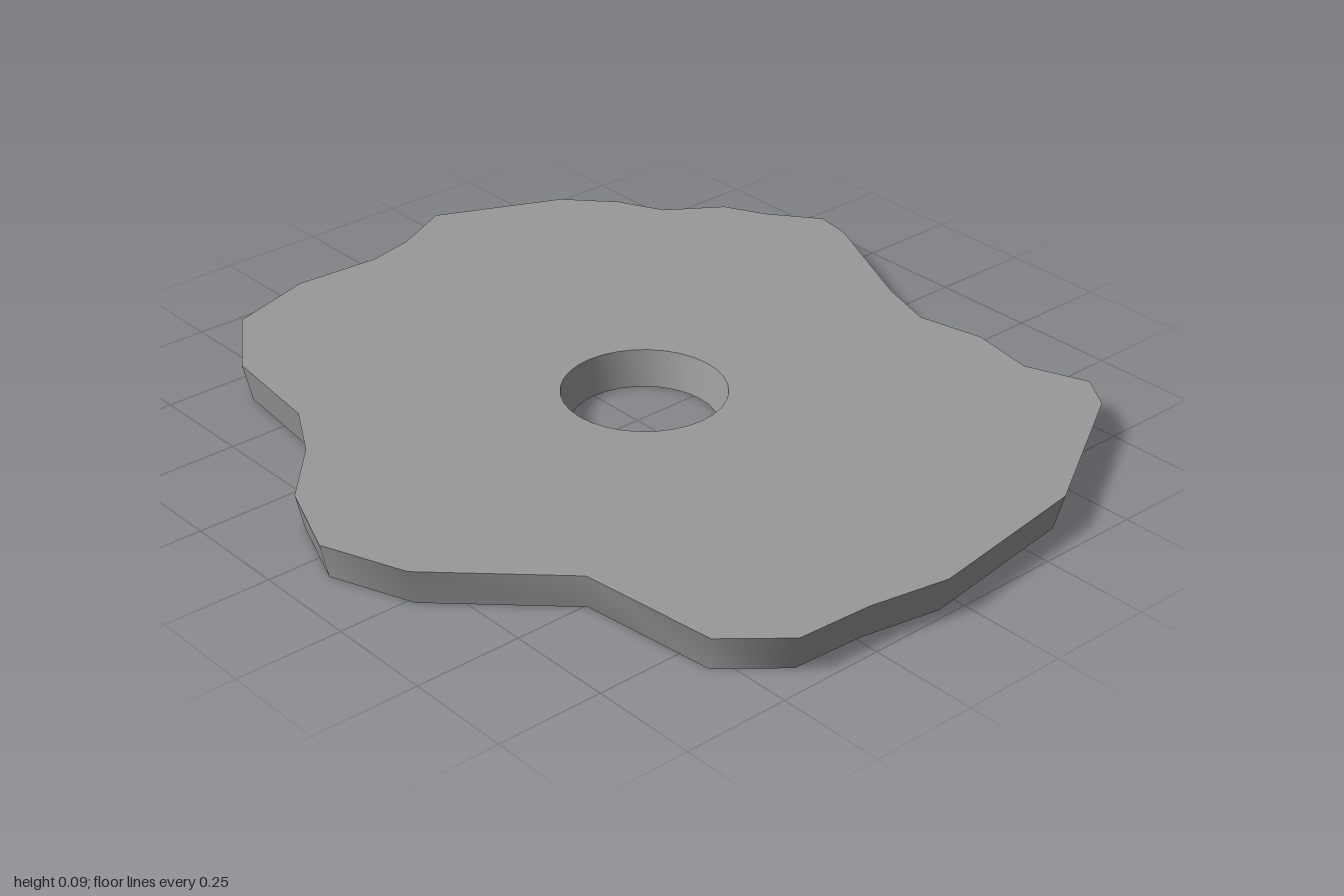
import * as THREE from 'three';

const HEIGHT = 0.085;
const CENTER = new THREE.Vector2(0.018, -0.005); // middle of the hole, as x, z
const HOLE_RADIUS = 0.188;
const HOLE_TAPER = 0.894;
const RIM_TAPER = 0.978;
const HOLE_SIDES = 32;

// Wavy rim as x, z pairs at the top face
const RIM = [
  [-0.35, -0.92], [-0.26, -0.905], [0.04, -0.765], [0.18, -0.72], [0.34, -0.753], [0.5, -0.724],
  [0.645, -0.78], [0.73, -0.724], [0.94, -0.365], [1, 0.05], [0.965, 0.24], [0.955, 0.42],
  [0.845, 0.55], [0.517, 0.587], [0.27, 0.845], [0.073, 0.92], [-0.12, 0.845], [-0.26, 0.717],
  [-0.4, 0.638], [-0.665, 0.606], [-0.85, 0.48], [-0.915, 0.27], [-0.903, 0.057], [-0.93, -0.06],
  [-1, -0.205], [-0.868, -0.5], [-0.76, -0.6], [-0.65, -0.654], [-0.563, -0.782], [-0.467, -0.83],
].map(([x, z]) => new THREE.Vector2(x, z));

// Hole outline, running the opposite way so its wall faces inwards
const HOLE = Array.from({ length: HOLE_SIDES }, (_, i) => {
  const a = (-i / HOLE_SIDES) * Math.PI * 2;
  return new THREE.Vector2(Math.cos(a), Math.sin(a)).multiplyScalar(HOLE_RADIUS).add(CENTER);
});

// Smooth closed wall from the top face to the ground, drawn in towards the centre below
function wallGeometry(outline, taper) {
  const positions = [];
  const index = [];
  outline.forEach((p, i) => {
    const low = p.clone().sub(CENTER).multiplyScalar(taper).add(CENTER);
    positions.push(p.x, HEIGHT, p.y, low.x, 0, low.y);
    const a = i * 2;
    const b = ((i + 1) % outline.length) * 2;
    index.push(a, b, a + 1, b, b + 1, a + 1);
  });
  const geometry = new THREE.BufferGeometry();
  geometry.setAttribute('position', new THREE.Float32BufferAttribute(positions, 3));
  geometry.setIndex(index);
  geometry.computeVertexNormals();
  return geometry;
}

// Flat sheet with the hole cut out
function topGeometry() {
  const flip = (p) => new THREE.Vector2(p.x, -p.y);
  const shape = new THREE.Shape(RIM.map(flip));
  shape.holes.push(new THREE.Path(HOLE.map(flip)));
  return new THREE.ShapeGeometry(shape).rotateX(-Math.PI / 2).translate(0, HEIGHT, 0);
}

export function createModel() {
  const group = new THREE.Group();
  group.name = 'wavyDisc';
  const material = new THREE.MeshStandardMaterial({ color: 0x999999, side: THREE.DoubleSide });

  const add = (name, geometry) => {
    const mesh = new THREE.Mesh(geometry, material);
    mesh.name = name;
    group.add(mesh);
  };

  // Thin shell, open underneath
  add('topSheet', topGeometry());
  add('rimWall', wallGeometry(RIM, RIM_TAPER));
  add('holeWall', wallGeometry(HOLE, HOLE_TAPER));
  return group;
}
